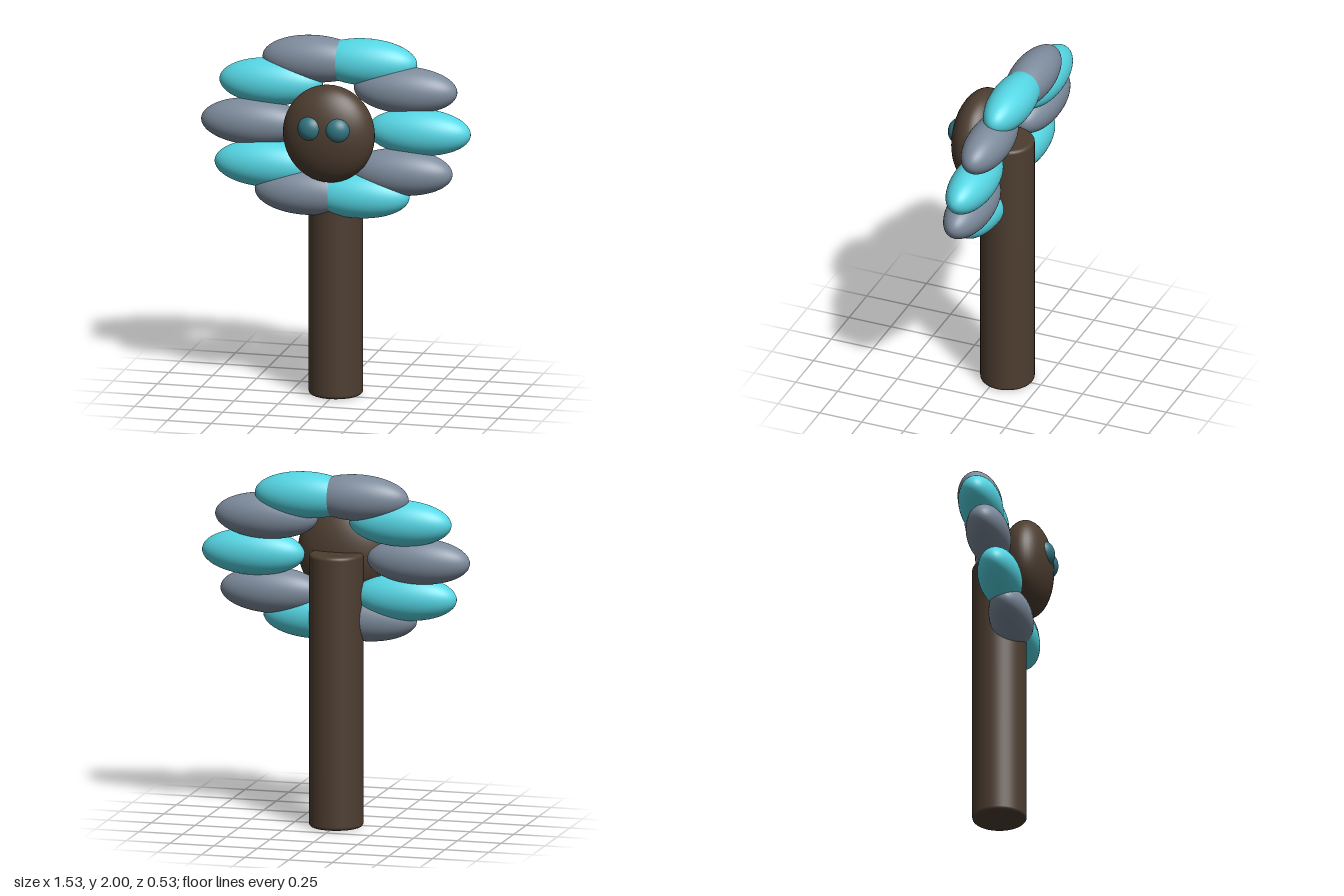
import * as THREE from 'three';

const paint = (color) => new THREE.MeshStandardMaterial({ color });
const BROWN = paint(0x4d3d30);
const TEAL = paint(0x55d6e4);
const GREY = paint(0x7d8b9c);
const EYE = paint(0x327480);

// Smooth ellipsoid given its centre and three radii
function ellipsoid(name, material, centre, radii) {
  const mesh = new THREE.Mesh(new THREE.SphereGeometry(1, 48, 32), material);
  mesh.name = name;
  mesh.position.set(...centre);
  mesh.scale.set(...radii);
  return mesh;
}

// Round post with softly rounded rims
function makeStem(radius, height, bevel) {
  const profile = [new THREE.Vector2(0, 0)];
  const steps = 5;
  for (let i = 0; i <= steps; i++) {
    const a = (i / steps) * Math.PI / 2;
    profile.push(new THREE.Vector2(radius - bevel + bevel * Math.sin(a), bevel - bevel * Math.cos(a)));
  }
  for (let i = 0; i <= steps; i++) {
    const a = (i / steps) * Math.PI / 2;
    profile.push(new THREE.Vector2(radius - bevel + bevel * Math.cos(a), height - bevel + bevel * Math.sin(a)));
  }
  profile.push(new THREE.Vector2(0, height));
  const mesh = new THREE.Mesh(new THREE.LatheGeometry(profile, 48), BROWN);
  mesh.name = 'stem';
  return mesh;
}

export function createModel() {
  const model = new THREE.Group();
  model.name = 'flower';

  // Stem, set slightly behind the head
  const stem = makeStem(0.15, 1.535, 0.02);
  stem.position.z = -0.052;
  model.add(stem);

  // Ring of ten sideways petals, leaning back at the top
  const petals = new THREE.Group();
  petals.name = 'petals';
  petals.position.set(0, 1.515, -0.055);
  petals.rotation.x = -0.236;
  const count = 10;
  for (let i = 0; i < count; i++) {
    const a = (i / count) * Math.PI * 2;
    petals.add(ellipsoid('petal', i % 2 ? GREY : TEAL,
      [0.472 * Math.cos(a), 0.384 * Math.sin(a), 0], [0.292, 0.13, 0.12]));
  }
  model.add(petals);

  // Face with two eyes
  model.add(ellipsoid('face', BROWN, [0, 1.515, 0.1], [0.258, 0.275, 0.148]));
  for (const side of [1, -1]) {
    model.add(ellipsoid(side > 0 ? 'leftEye' : 'rightEye', EYE,
      [side * 0.075, 1.565, 0.2], [0.075, 0.075, 0.065]));
  }

  return model;
}
